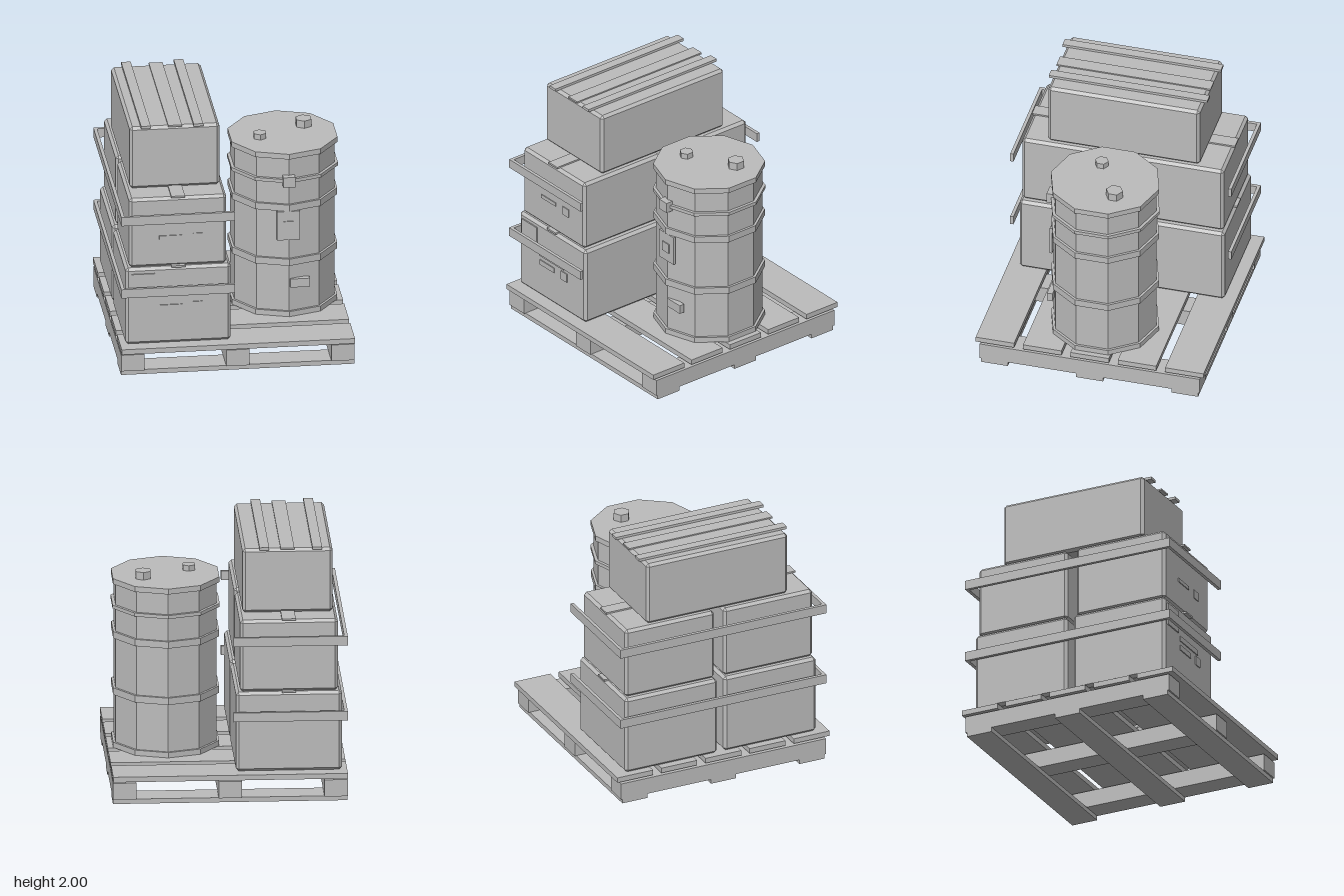
import * as THREE from 'three';
import { ConvexGeometry } from 'three/addons/geometries/ConvexGeometry.js';

export function createModel() {
  const group = new THREE.Group();
  group.name = 'loadedPallet';
  const grey = new THREE.MeshStandardMaterial({ color: 0xbcbcbc, flatShading: true });
  grey.name = 'plain grey';

  const add = (name, geometry, x = 0, y = 0, z = 0) => {
    const mesh = new THREE.Mesh(geometry, grey);
    mesh.name = name;
    mesh.position.set(x, y, z);
    group.add(mesh);
    return mesh;
  };
  // Plain block given by its limits
  const block = (name, x0, x1, y0, y1, z0, z1) =>
    add(name, new THREE.BoxGeometry(x1 - x0, y1 - y0, z1 - z0),
      (x0 + x1) / 2, (y0 + y1) / 2, (z0 + z1) / 2);
  // Block with every edge chamfered by c
  const chamfered = (name, x0, x1, y0, y1, z0, z1, c = 0.022) => {
    const h = [(x1 - x0) / 2, (y1 - y0) / 2, (z1 - z0) / 2];
    const points = [];
    for (const sx of [-1, 1]) for (const sy of [-1, 1]) for (const sz of [-1, 1]) {
      for (let axis = 0; axis < 3; axis++) {
        const p = h.map((v, i) => (i === axis ? v : v - c));
        points.push(new THREE.Vector3(p[0] * sx, p[1] * sy, p[2] * sz));
      }
    }
    return add(name, new ConvexGeometry(points), (x0 + x1) / 2, (y0 + y1) / 2, (z0 + z1) / 2);
  };
  // Upright prism standing at height y0
  const prism = (name, sides, r, x, y0, y1, z) =>
    add(name, new THREE.CylinderGeometry(r, r, y1 - y0, sides), x, (y0 + y1) / 2, z);

  // Pallet
  for (let i = -2; i <= 2; i++) {
    block('deckBoard', -0.917, 0.917, 0.19, 0.232, i * 0.3825 - 0.155, i * 0.3825 + 0.155);
  }
  for (const x of [-0.826, 0, 0.826]) {
    block('stringer', x - 0.091, x + 0.091, 0.036, 0.172, -0.888, 0.888);
  }
  for (const z of [-0.768, 0, 0.768]) {
    block('bottomBoard', -0.917, 0.917, 0, 0.038, z - 0.108, z + 0.108);
  }

  // Two layers of paired boxes, with seam strips and wrap bands
  const layers = [
    { x0: -0.875, x1: -0.047, y0: 0.232, y1: 0.877, z0: 0.028, z1: 0.828, strip: 0.838, band: 0.657 },
    { x0: -0.845, x1: -0.08, y0: 0.877, y1: 1.46, z0: 0.04, z1: 0.813, strip: 0.82, band: 1.27 },
  ];
  for (const l of layers) {
    chamfered('frontBox', l.x0, l.x1, l.y0, l.y1, l.z0, l.z1);
    chamfered('backBox', l.x0, l.x1, l.y0, l.y1, -l.z1, -l.z0);
    block('seamStrip', -0.515, -0.407, l.y1 - 0.003, l.y1 + 0.012, -l.strip, l.strip);
    const top = l.band + 0.074;
    block('bandFront', -0.917, -0.025, l.band, top, 0.867, 0.893);
    block('bandBack', -0.917, -0.025, l.band, top, -0.893, -0.867);
    block('bandSide', -0.917, -0.89, l.band, top, -0.867, 0.867);
  }

  // Labels on the box fronts
  block('boxLabel', -0.83, -0.645, 0.65, 0.83, 0.826, 0.838);
  block('longMark', -0.61, -0.31, 0.595, 0.637, 0.826, 0.836);
  block('shortMark', -0.61, -0.43, 0.518, 0.56, 0.826, 0.836);
  block('squareMark', -0.345, -0.27, 0.503, 0.577, 0.826, 0.836);
  block('upperShortMark', -0.61, -0.43, 1.11, 1.14, 0.812, 0.82);
  block('upperSquareMark', -0.345, -0.27, 1.08, 1.15, 0.812, 0.82);

  // Long crate on top with slats
  chamfered('topCrate', -0.815, -0.11, 1.46, 1.98, -0.612, 0.612);
  block('crateSlat', -0.73, -0.655, 1.978, 2, -0.64, 0.64);
  block('crateSlat', -0.317, -0.242, 1.978, 2, -0.64, 0.64);
  block('crateStrip', -0.515, -0.407, 1.976, 1.99, -0.622, 0.622);

  // Ten-sided drum with hoops, lid bungs and fittings
  const dx = 0.46, dz = -0.003;
  prism('drumBody', 10, 0.415, dx, 0.232, 1.6, dz);
  for (const [y0, y1, r] of [[0.232, 0.275, 0.435], [0.664, 0.72, 0.435],
    [1.125, 1.18, 0.435], [1.368, 1.396, 0.44], [1.568, 1.612, 0.437]]) {
    prism('drumHoop', 10, r, dx, y0, y1, dz);
  }
  prism('smallBung', 6, 0.054, 0.272, 1.61, 1.656, 0.073);
  prism('largeBung', 6, 0.067, 0.64, 1.61, 1.673, -0.127);
  block('drumLatch', 0.41, 0.505, 1.34, 1.425, 0.39, 0.458);
  block('drumLabel', 0.365, 0.545, 0.88, 1.122, 0.402, 0.422);
  block('drumLabelMark', 0.415, 0.495, 0.96, 1.04, 0.421, 0.43);
  block('drumTag', 0.47, 0.625, 0.475, 0.547, 0.378, 0.422);

  return group;
}
